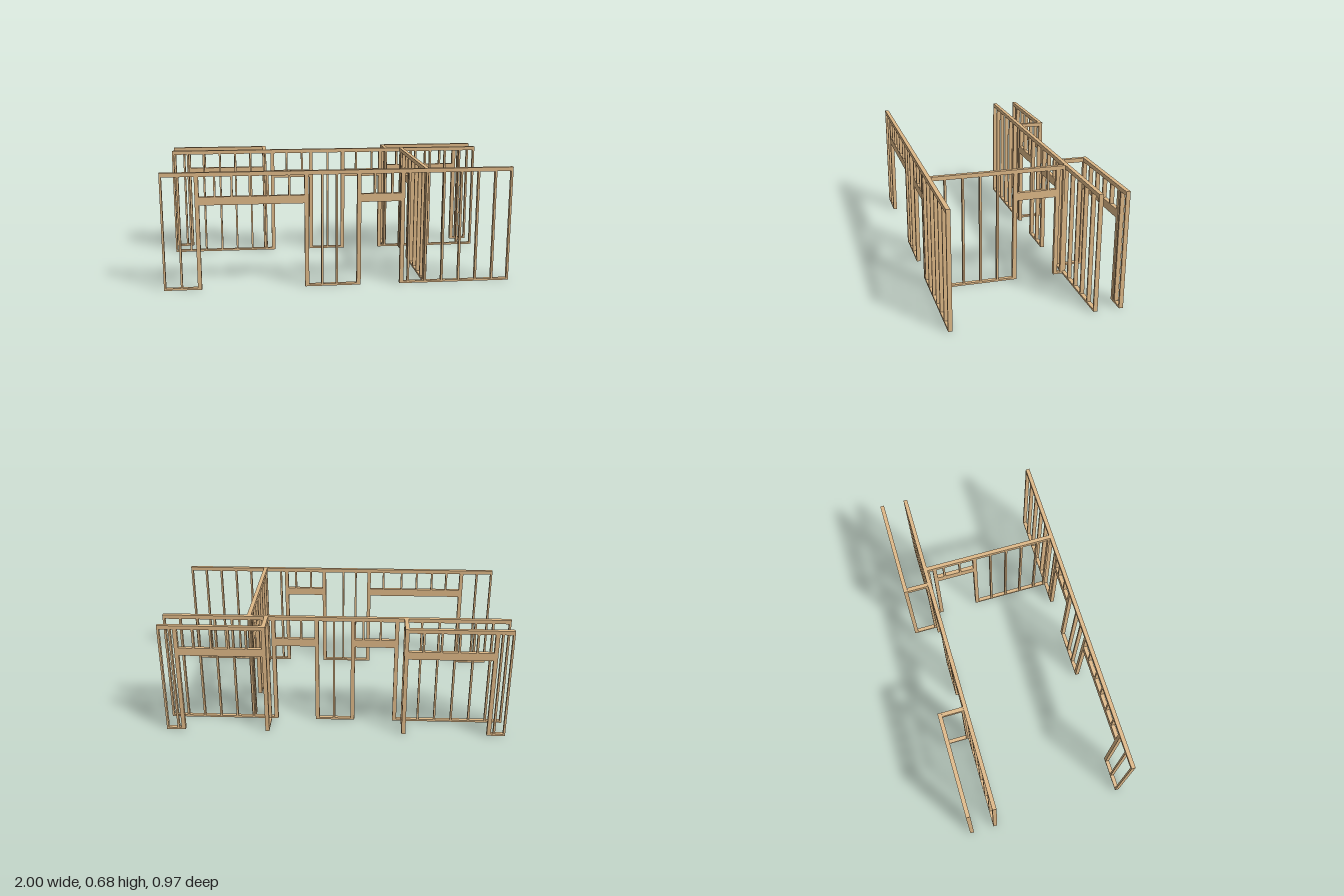
import * as THREE from 'three';

const H = 0.675;        // wall height
const T = 0.0117;       // lumber thickness
const D = 0.0235;       // lumber depth
const HEAD = [0.49, 0.537]; // header bottom and top

const wood = new THREE.MeshStandardMaterial({ color: 0xdeb887, flatShading: true });

// One framed wall running along local x from a to b.
// openings: [start, end] of each clear opening; studs: centres along the wall.
// ends: which end studs to build
function wall(name, a, b, openings, studs, ends = [true, true]) {
  const g = new THREE.Group();
  g.name = name;
  const piece = (part, u0, u1, y0, y1) => {
    const m = new THREE.Mesh(new THREE.BoxGeometry(u1 - u0, y1 - y0, D), wood);
    m.position.set((u0 + u1) / 2, (y0 + y1) / 2, 0);
    m.name = part;
    g.add(m);
  };
  const top = H - 2 * T;
  piece('lowerTopPlate', a, b, top, H - T);
  piece('upperTopPlate', a, b, H - T, H);

  // Bottom plates between the openings
  let start = a;
  for (const [o0, o1] of [...openings, [b, b]]) {
    if (o0 - start > 0.001) piece('bottomPlate', start, o0, 0, T);
    start = o1;
  }

  // Headers and doubled jamb studs
  for (const [o0, o1] of openings) {
    piece('header', o0, o1, ...HEAD);
    for (const u of [o0 - 2 * T, o0 - T, o1, o1 + T]) piece('jambStud', u, u + T, T, top);
  }

  // Full studs, or short ones above a header
  if (ends[0]) piece('endStud', a, a + T, T, top);
  if (ends[1]) piece('endStud', b - T, b, T, top);
  for (const u of studs) {
    const over = openings.some(([o0, o1]) => u > o0 && u < o1);
    piece(over ? 'crippleStud' : 'stud', u - T / 2, u + T / 2, over ? HEAD[1] : T, top);
  }
  return g;
}

export function createModel() {
  const model = new THREE.Group();
  model.name = 'houseFraming';

  const alongX = (z, ...args) => {
    const g = wall(...args);
    g.position.z = z;
    model.add(g);
  };
  const alongZ = (x, ...args) => {
    const g = wall(...args);
    g.rotation.y = -Math.PI / 2;
    g.position.x = x;
    model.add(g);
  };

  // Long front wall with a wide and a narrow opening
  alongX(0.475, 'frontWall', -1, 1, [[-0.787, -0.2], [0.122, 0.35]],
    [-0.9, -0.7, -0.605, -0.505, -0.405, -0.285, -0.1, -0.017, 0.2, 0.3, 0.4, 0.5, 0.6, 0.7, 0.8, 0.9]);

  // Long middle wall with two doorways
  alongX(-0.326, 'middleWall', -1, 1, [[-0.342, -0.112], [0.122, 0.35]],
    [-0.9, -0.8, -0.695, -0.595, -0.495, -0.4, -0.26, -0.16, 0.01, 0.2, 0.305, 0.4, 0.5, 0.6, 0.7, 0.8, 0.9]);

  // Back bays: a wide opening each, with a short return wall
  alongX(-0.475, 'backWallRight', -1, -0.393, [[-0.893, -0.393 - 2 * T]],
    [-0.935, -0.8, -0.7, -0.6, -0.5], [true, false]);
  alongX(-0.475, 'backWallLeft', 0.388, 1, [[0.388 + 2 * T, 0.888]],
    [0.5, 0.6, 0.7, 0.8, 0.93], [false, true]);
  alongZ(-0.405, 'returnWallRight', -0.463, -0.338, [], [], [false, true]);
  alongZ(0.4, 'returnWallLeft', -0.463, -0.338, [], [], [false, true]);

  // Cross partition with a doorway
  alongZ(0.501, 'partitionWall', -0.314, 0.463, [[-0.26, -0.031]],
    [-0.215, -0.115, 0.083, 0.183, 0.283, 0.383]);

  return model;
}
